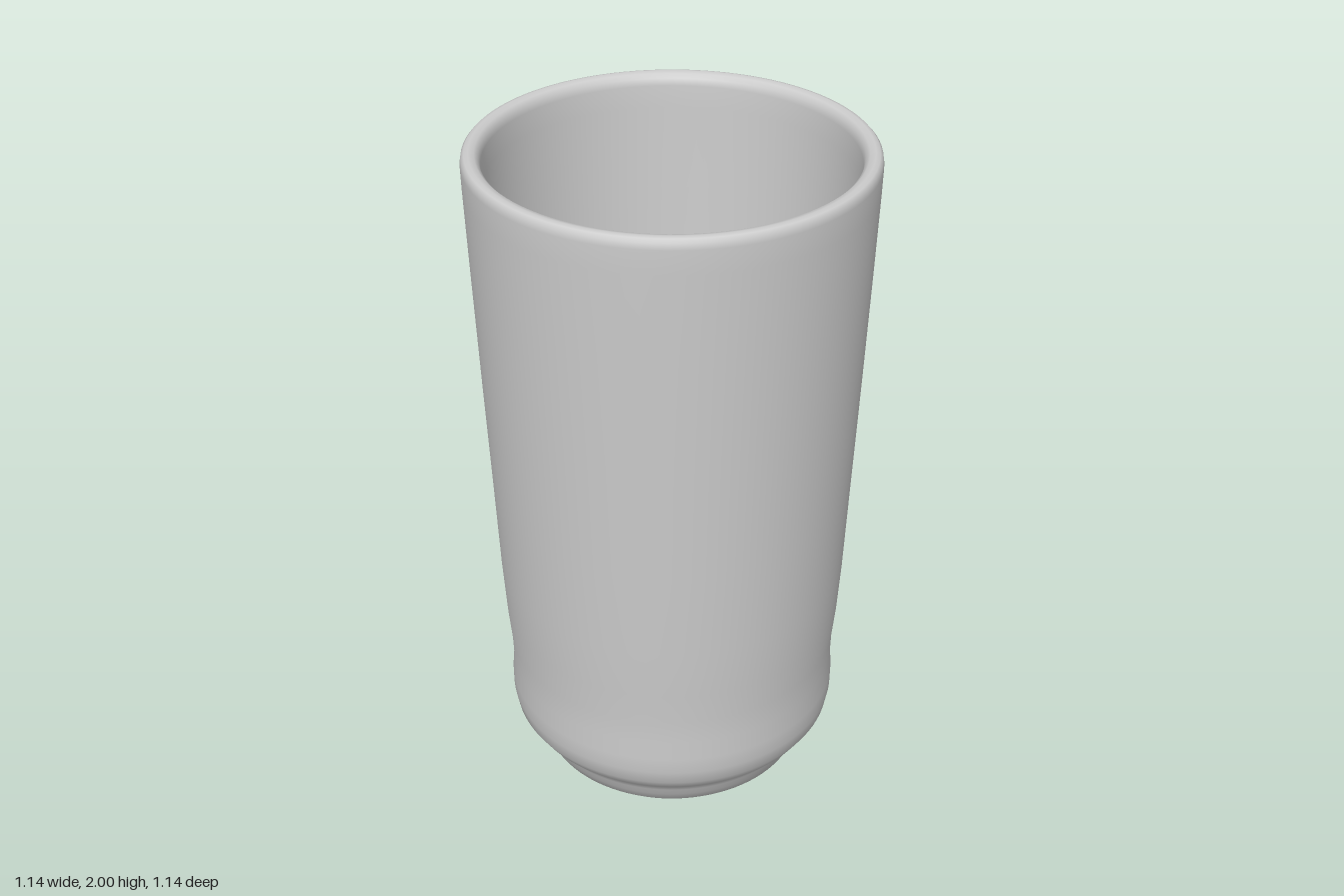
import * as THREE from 'three';

// Squeezes the wall slightly around the waist, mostly at the front and back
function dentWaist(geometry) {
  const p = geometry.attributes.position;
  for (let i = 0; i < p.count; i++) {
    const x = p.getX(i), y = p.getY(i), z = p.getZ(i);
    const r = Math.hypot(x, z);
    if (r < 0.4) continue;
    const facing = z / r;
    const amount = (facing < 0 ? 0.016 : 0.008) * facing * facing;
    const k = 1 - amount * Math.exp(-(((y - 0.37) / 0.09) ** 2)) / r;
    p.setXYZ(i, x * k, y, z * k);
  }
}

export function createModel() {
  const group = new THREE.Group();
  group.name = 'tumbler';

  // Outside: slightly domed base, stepped foot, bulge, tapered wall
  const outside = [
    [0, 0], [0.2, 0.008], [0.33, 0.014], [0.37, 0.022], [0.395, 0.045],
    [0.415, 0.08], [0.425, 0.105], [0.435, 0.125], [0.462, 0.15], [0.485, 0.185],
    [0.494, 0.23], [0.496, 0.28], [0.494, 0.34], [0.496, 0.42], [0.503, 0.52],
    [0.513, 0.68], [0.525, 0.95], [0.541, 1.3], [0.556, 1.65], [0.566, 1.9],
  ];
  // Rounded rim
  const rim = [
    [0.568, 1.97], [0.565, 1.988], [0.557, 1.997], [0.545, 2],
    [0.529, 1.996], [0.518, 1.985], [0.513, 1.965],
  ];
  // Inside: tapered wall, rounded corner, flat floor
  const inside = [
    [0.511, 1.9], [0.502, 1.65], [0.488, 1.3], [0.473, 0.95], [0.461, 0.68],
    [0.45, 0.45], [0.443, 0.3], [0.436, 0.22], [0.424, 0.17], [0.4, 0.142],
    [0.36, 0.13], [0.2, 0.125], [0, 0.125],
  ];
  const profile = [...outside, ...rim, ...inside].map(([r, y]) => new THREE.Vector2(r, y));

  const geometry = new THREE.LatheGeometry(profile, 96);
  dentWaist(geometry);
  const cup = new THREE.Mesh(geometry, new THREE.MeshStandardMaterial({ color: 0xcccccc }));
  cup.name = 'cupBody';
  group.add(cup);
  return group;
}
